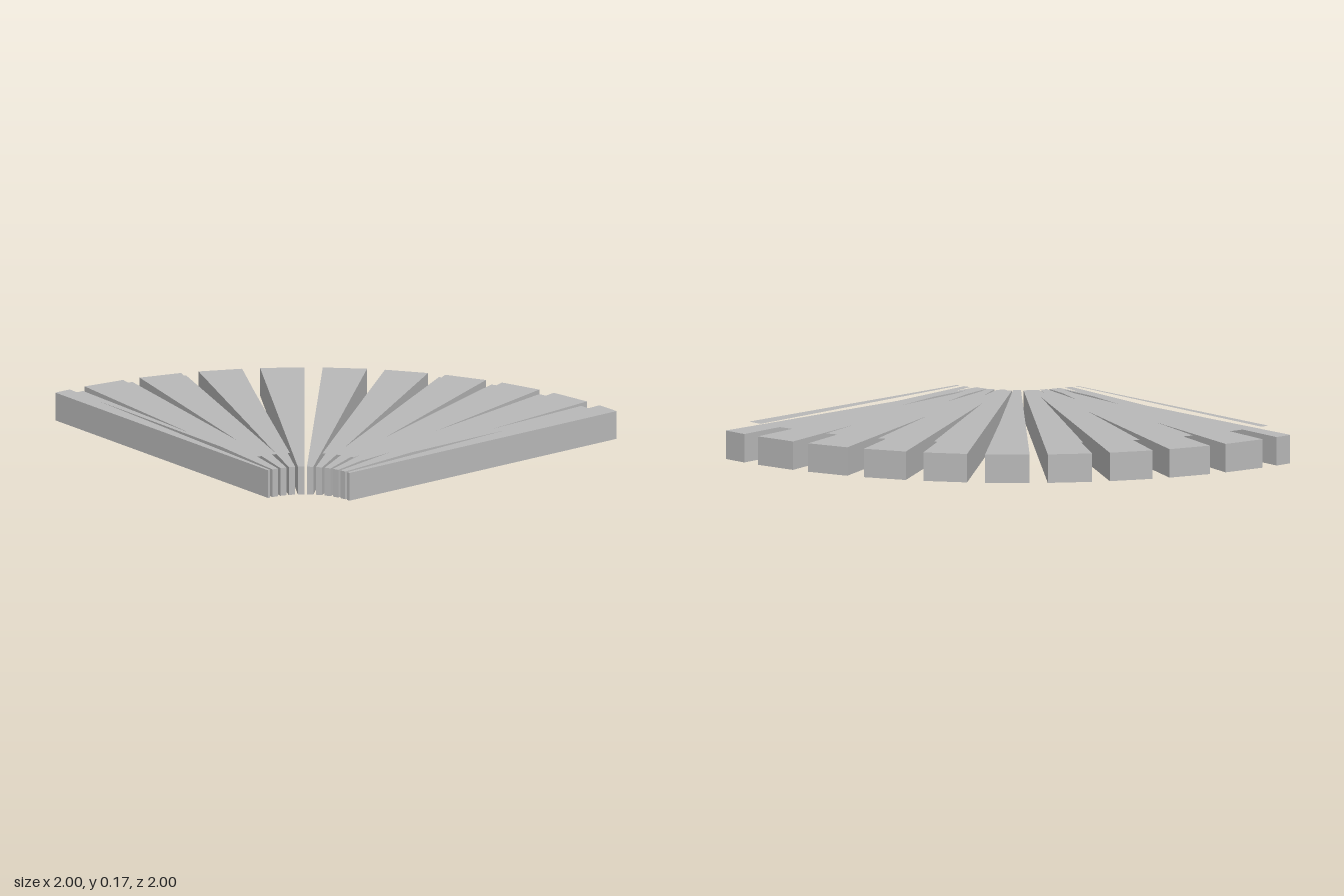
import * as THREE from 'three';

const HEIGHT = 0.145;      // blade thickness
const PANEL_Y = 0.175;     // level of the thin top panels
const RAD = Math.PI / 180;

export function createModel() {
  const model = new THREE.Group();
  model.name = 'quarterFan';

  const stone = new THREE.MeshStandardMaterial({ color: 0xb8b8b8, side: THREE.DoubleSide });
  stone.name = 'grey';

  // Straight-ended wedge about the pivot; angles run from the back towards the right
  function wedgeShape(r0, r1, a0, a1) {
    const p = (r, a) => new THREE.Vector2(1 - r * Math.sin(a * RAD), -1 + r * Math.cos(a * RAD));
    return new THREE.Shape([p(r0, a0), p(r1, a0), p(r1, a1), p(r0, a1)]);
  }

  function add(name, geometry, y) {
    geometry.rotateX(-Math.PI / 2);
    const mesh = new THREE.Mesh(geometry, stone);
    mesh.name = name;
    mesh.position.y = y;
    model.add(mesh);
  }

  // Eleven blades, the outer two cut off by the quarter-circle limits
  for (let k = 0; k <= 10; k++) {
    const mid = 0.6 + 9 * k;
    const clip = (a, margin) => THREE.MathUtils.clamp(a, margin, 90 - margin);

    const blade = wedgeShape(0.29, 2, clip(mid - 3.2, 0), clip(mid + 3.2, 0));
    add(`blade${k + 1}`, new THREE.ExtrudeGeometry(blade, { depth: HEIGHT, bevelEnabled: false }), 0);

    // Thin flat panel hovering just over the blade
    const panel = wedgeShape(0.43, 1.86, clip(mid - 2.6, 0.6), clip(mid + 2.6, 0.6));
    add(`panel${k + 1}`, new THREE.ShapeGeometry(panel), PANEL_Y);
  }
  return model;
}
